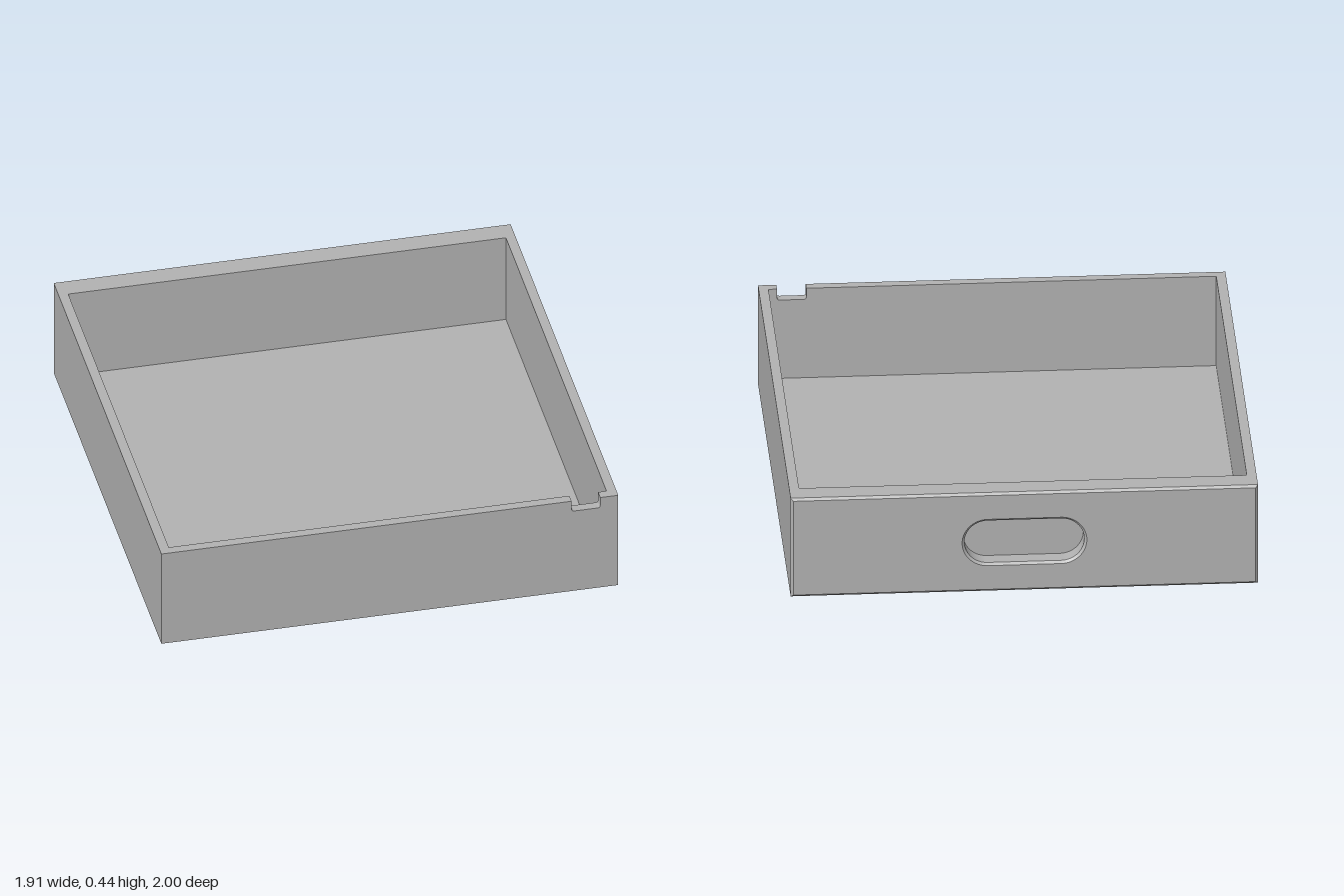
import * as THREE from 'three';
import { toCreasedNormals } from 'three/addons/utils/BufferGeometryUtils.js';

const W = 0.955, H = 0.445, WALL = 0.04, FLOOR = 0.04;
const INNER = W - WALL;          // inner half width
const BACK_IN = -0.9, POCKET = -0.925, BEVEL = 0.01;

export function createModel() {
  const tray = new THREE.Group();
  tray.name = 'tray';
  const grey = new THREE.MeshStandardMaterial({ color: 0xb2b2b2 });
  grey.name = 'grey';

  const add = (name, geometry) => {
    const mesh = new THREE.Mesh(geometry, grey);
    mesh.name = name;
    tray.add(mesh);
    return mesh;
  };
  // Box given by its lower and upper corners
  const box = (name, x0, y0, z0, x1, y1, z1) =>
    add(name, new THREE.BoxGeometry(x1 - x0, y1 - y0, z1 - z0))
      .position.set((x0 + x1) / 2, (y0 + y1) / 2, (z0 + z1) / 2);

  box('floor', -W, 0, POCKET, W, FLOOR, 1);
  box('leftWall', INNER, FLOOR, POCKET, W, H, 1);
  box('rightWall', -W, FLOOR, POCKET, -INNER, H, 1);
  box('backWallInner', -INNER, FLOOR, POCKET, INNER, H, BACK_IN);

  // Front wall with a small round-cornered notch in its top edge
  const n0 = 0.76, n1 = 0.88, nb = 0.395, r = 0.012;
  const front = new THREE.Shape();
  front.moveTo(-INNER, FLOOR);
  front.lineTo(INNER, FLOOR);
  front.lineTo(INNER, H);
  front.lineTo(n1, H);
  front.lineTo(n1, nb + r);
  front.quadraticCurveTo(n1, nb, n1 - r, nb);
  front.lineTo(n0 + r, nb);
  front.quadraticCurveTo(n0, nb, n0, nb + r);
  front.lineTo(n0, H);
  front.lineTo(-INNER, H);
  front.closePath();
  const frontGeo = new THREE.ExtrudeGeometry(front,
    { depth: WALL, bevelEnabled: false, curveSegments: 5 });
  add('frontWall', toCreasedNormals(frontGeo, 0.6)).position.z = 1 - WALL;

  // Outer back panel: chamfered outside edge and a stadium-shaped finger recess
  const panel = new THREE.Shape();
  panel.moveTo(-W, 0);
  panel.lineTo(W, 0);
  panel.lineTo(W, H);
  panel.lineTo(-W, H);
  panel.closePath();
  const slot = new THREE.Path(), sx = 0.15, sr = 0.095, sy = H / 2;
  slot.absarc(sx, sy, sr, -Math.PI / 2, Math.PI / 2, false);
  slot.absarc(-sx, sy, sr, Math.PI / 2, Math.PI * 1.5, false);
  slot.closePath();
  panel.holes.push(slot);
  const panelGeo = new THREE.ExtrudeGeometry(panel, {
    depth: POCKET + 1 - BEVEL, bevelThickness: BEVEL, bevelSize: BEVEL,
    bevelOffset: -BEVEL, bevelSegments: 1, curveSegments: 16,
  });
  // Flatten the bevel on the inner side so only the outer edge is chamfered
  const pos = panelGeo.attributes.position;
  for (let i = 0; i < pos.count; i++) pos.setZ(i, Math.max(0, pos.getZ(i)));
  const backPanel = add('backPanel', toCreasedNormals(panelGeo, 0.5));
  backPanel.rotation.y = Math.PI;
  backPanel.position.z = POCKET;

  return tray;
}
